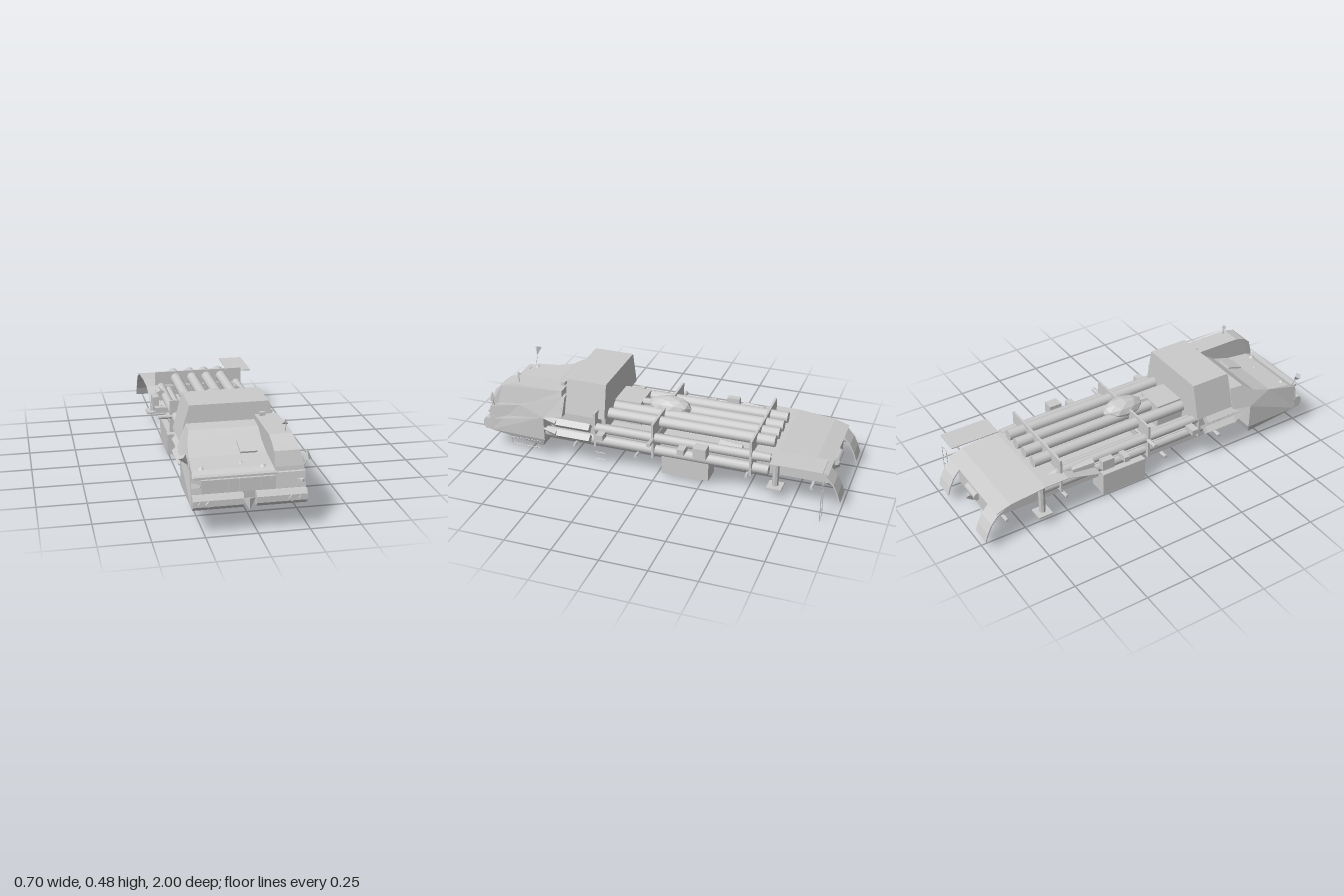
import * as THREE from 'three';

const mat = new THREE.MeshStandardMaterial({ color: 0xcccccc, flatShading: true, side: THREE.DoubleSide });
const round = new THREE.MeshStandardMaterial({ color: 0xcccccc, side: THREE.DoubleSide });
const AXIS = -0.038; // centre line of the vehicle

export function createModel() {
  const root = new THREE.Group();
  root.name = 'heavyTruck';

  const add = (name, geo, m = mat) => {
    const mesh = new THREE.Mesh(geo, m);
    mesh.name = name;
    root.add(mesh);
    return mesh;
  };
  // Box from its limits
  const box = (name, x0, x1, y0, y1, z0, z1) => {
    const g = new THREE.BoxGeometry(x1 - x0, y1 - y0, z1 - z0);
    g.translate((x0 + x1) / 2, (y0 + y1) / 2, (z0 + z1) / 2);
    return add(name, g);
  };
  // Cylinder or cone between two points
  const rod = (name, a, b, r0, r1 = r0, sides = 6, m = mat) => {
    const p = new THREE.Vector3(...a), q = new THREE.Vector3(...b);
    const g = new THREE.CylinderGeometry(r1, r0, p.distanceTo(q), sides);
    const mesh = add(name, g, m);
    mesh.position.copy(p).add(q).multiplyScalar(0.5);
    mesh.quaternion.setFromUnitVectors(new THREE.Vector3(0, 1, 0), q.sub(p).normalize());
    return mesh;
  };
  // Side profile of [z, y] points, spanning x from left(y) to right(y)
  const hull = (name, profile, left, right) => {
    const g = new THREE.ExtrudeGeometry(new THREE.Shape(profile.map(p => new THREE.Vector2(...p))),
      { depth: 1, bevelEnabled: false });
    g.rotateY(-Math.PI / 2);
    const p = g.attributes.position;
    for (let i = 0; i < p.count; i++) p.setX(i, p.getX(i) < -0.5 ? left(p.getY(i)) : right(p.getY(i)));
    g.computeVertexNormals();
    return add(name, g);
  };
  // Piecewise linear lookup through [y, x] points
  const ramp = pts => y => {
    let i = 1;
    while (i < pts.length - 1 && y > pts[i][0]) i++;
    const [a, b] = [pts[i - 1], pts[i]];
    return THREE.MathUtils.mapLinear(y, a[0], b[0], a[1], b[1]);
  };
  // Thin plate following [z, y] points
  const sheet = (name, x0, x1, path, t = 0.004) => {
    const under = path.map(([z, y]) => [z + t, y - t]).reverse();
    return hull(name, [...path, ...under], () => x0, () => x1);
  };

  // Chassis
  hull('chassis', [[0.64, 0.11], [0.64, 0.2], [-0.65, 0.2], [-0.65, 0.24], [-0.85, 0.23], [-0.92, 0.2], [-0.92, 0.11]],
    () => -0.215, () => 0.14);

  // Cab: sloping belly, nose, bonnet, windscreen and roof
  const cabLeft = ramp([[0.07, -0.28], [0.13, -0.308], [0.27, -0.305], [0.30, -0.29], [0.39, -0.257]]);
  const cabRight = ramp([[0.07, 0.21], [0.13, 0.234], [0.28, 0.234], [0.42, 0.2]]);
  hull('cabBody', [[0.95, 0.13], [0.955, 0.2], [0.945, 0.275], [0.9, 0.295], [0.77, 0.31], [0.665, 0.342], [0.6, 0.385],
    [0.51, 0.39], [0.52, 0.28], [0.63, 0.26], [0.63, 0.12], [0.65, 0.07]], cabLeft, cabRight);
  hull('driverCabin', [[0.92, 0.2], [0.945, 0.23], [0.935, 0.3], [0.915, 0.37], [0.88, 0.4], [0.82, 0.42], [0.53, 0.42],
    [0.52, 0.3], [0.62, 0.26]], y => 0.092 - Math.max(0, y - 0.3) * 0.05, cabRight);
  hull('rearCabin', [[0.515, 0.29], [0.515, 0.39], [0.51, 0.48], [0.288, 0.48], [0.288, 0.29]],
    ramp([[0.29, -0.285], [0.39, -0.265], [0.48, -0.237]]), ramp([[0.29, 0.2], [0.39, 0.185], [0.48, 0.163]]));
  box('rearCabinBase', -0.23, 0.155, 0.19, 0.3, 0.3, 0.6);
  box('engineBox', -0.125, 0.04, 0.2, 0.335, 0.14, 0.3);

  // Nose details
  box('grille', -0.262, 0.088, 0.203, 0.268, 0.945, 0.962);
  for (let i = 0; i < 5; i++) box('grilleSlat', -0.137 + i * 0.051, -0.134 + i * 0.051, 0.208, 0.266, 0.955, 0.967);
  box('bonnetLip', -0.295, 0.095, 0.272, 0.282, 0.93, 0.958);
  const hatch = box('bonnetHatch', -0.037, 0.047, -0.006, 0.006, -0.045, 0.045);
  hatch.position.set(0, 0.328, 0.722);
  hatch.rotation.x = 0.3;
  for (const [x, z] of [[-0.25, 0.885], [-0.055, 0.85], [0.04, 0.9]]) {
    const cap = add('bonnetCap', new THREE.ConeGeometry(0.018, 0.014, 6));
    cap.position.set(x, 0.302, z);
  }

  // Split bumper with lamps and tow point
  for (const s of [-1, 1]) {
    const [a, b] = s < 0 ? [-0.308, -0.068] : [-0.008, 0.234];
    hull('bumper', [[0.945, 0.13], [0.98, 0.132], [0.993, 0.15], [0.993, 0.18], [0.98, 0.199], [0.945, 0.199]], () => a, () => b);
    for (const [d, r] of [[0.195, 0.02], [0.238, 0.012]])
      rod('lamp', [AXIS + s * d, 0.164, 0.975], [AXIS + s * d, 0.164, 1], r, r * 0.8, 4);
  }
  const tow = rod('towPoint', [AXIS, 0.167, 0.965], [AXIS, 0.115, 0.98], 0.03, 0.001, 4);
  tow.scale.z = 0.6;

  // Mirrors and aerials
  rod('mirrorArm', [-0.3, 0.29, 0.92], [-0.328, 0.35, 0.92], 0.002);
  rod('mirror', [-0.343, 0.377, 0.92], [-0.318, 0.338, 0.92], 0.02, 0.002, 4);
  rod('mirror', [0.25, 0.325, 0.92], [0.245, 0.372, 0.92], 0.018, 0.002, 4);
  rod('mirrorArm', [0.228, 0.28, 0.92], [0.25, 0.33, 0.92], 0.002);
  rod('beacon', [0.185, 0.455, 0.79], [0.165, 0.468, 0.79], 0.002, 0.014, 4);
  rod('beaconPost', [0.175, 0.415, 0.79], [0.175, 0.46, 0.79], 0.003);
  box('roofBlock', 0.105, 0.135, 0.415, 0.438, 0.54, 0.56);
  rod('sideLamp', [0.2, 0.23, 0.94], [0.22, 0.235, 0.965], 0.017, 0.008, 4);
  rod('sideLamp', [-0.3, 0.24, 0.94], [-0.265, 0.24, 0.965], 0.02, 0.004, 4);

  // Upper pipe rack
  for (const x of [-0.135, -0.04, 0.045, 0.13])
    rod('upperPipe', [x, 0.298, 0.285], [x, 0.298, -0.63], 0.03, 0.03, 12, round);
  // Side pipes in two tiers
  for (const s of [-1, 1]) {
    const x = s < 0 ? -0.222 : 0.222;
    rod('sidePipe', [x, 0.25, 0.33], [x, 0.25, -0.55], 0.025, 0.025, 10, round);
    rod('pipeNose', [x, 0.25, -0.55], [x, 0.25, -0.63], 0.025, s < 0 ? 0.002 : 0.022, 10, round);
    rod('lowerPipe', [x * 0.95, 0.172, 0.62], [x * 0.95, 0.172, -0.62], 0.027, 0.027, 10, round);
    rod('innerPipe', [x * 0.8, 0.23, 0.3], [x * 0.8, 0.23, -0.6], 0.022, 0.022, 10, round);
    // Tapered pods behind the cab
    for (const y of [0.19, 0.255]) {
      const px = s < 0 ? -0.275 : 0.25;
      rod('podBody', [px, y, 0.35], [px, y, 0.54], 0.026, 0.026, 4);
      rod('podNose', [px, y, 0.54], [px - s * 0.02, y, 0.63], 0.026, 0.006, 4);
    }
    // Canisters beside the rack
    const cx = s < 0 ? -0.25 : 0.185;
    rod('canister', [cx, 0.255, -0.35], [cx, 0.255, -0.47], 0.032, 0.018, 6);
  }

  // Rack frames
  for (const [z, a, b] of [[0.33, -0.25, 0.24], [0, -0.255, 0.25], [-0.53, -0.255, 0.25]])
    box('rackFrame', a, b, 0.14, 0.34, z - 0.006, z + 0.006);
  rod('crossBar', [-0.315, 0.25, 0], [0.31, 0.25, 0], 0.012, 0.012, 8);
  for (const [x0, x1, y0, y1, z0, z1] of [[0.25, 0.31, 0.222, 0.28, -0.31, -0.24], [0.24, 0.3, 0.22, 0.25, -0.19, -0.15],
    [0.24, 0.3, 0.22, 0.25, 0.26, 0.3], [-0.31, -0.275, 0.222, 0.28, -0.32, -0.25],
    [-0.31, -0.24, 0.22, 0.25, -0.185, -0.155], [-0.31, -0.24, 0.22, 0.25, 0.24, 0.28]])
    box('sideFitting', x0, x1, y0, y1, z0, z1);

  // Faceted dome on top of the rack
  const dome = add('dome', new THREE.IcosahedronGeometry(1, 1));
  dome.scale.set(0.068, 0.058, 0.12);
  dome.position.set(-0.008, 0.322, -0.01);
  rod('domePipe', [-0.01, 0.325, 0.14], [-0.01, 0.325, 0.06], 0.018, 0.018, 8);

  // Rear deck, side wing, mudguards and folding flap
  sheet('rearDeck', -0.308, 0.232, [[-0.52, 0.262], [-0.65, 0.262], [-0.85, 0.24], [-0.93, 0.215]]);
  sheet('deckWing', -0.308, -0.235, [[-0.33, 0.21], [-0.52, 0.262]]);
  for (const [a, b] of [[-0.308, -0.2], [0.12, 0.23]])
    sheet('mudguard', a, b, [[-0.85, 0.24], [-0.92, 0.205], [-0.96, 0.16], [-0.985, 0.11], [-1, 0.065]], 0.005);
  box('foldingFlap', 0.2, 0.337, 0.281, 0.286, -0.92, -0.65);

  // Rear ladder hanging from the flap
  for (const x of [0.281, 0.334]) rod('ladderRail', [x, 0.001, -0.92], [x, 0.212, -0.92], 0.002, 0.002, 4);
  for (let i = 0; i < 5; i++)
    rod('ladderRung', [0.281, 0.004 + i * 0.052, -0.92], [0.334, 0.004 + i * 0.052, -0.92], 0.002, 0.002, 4);

  // Boarding steps
  for (const z of [0.66, 0.745, 0.83]) rod('stepRail', [0.222, 0.06, z], [0.222, 0.14, z], 0.002, 0.002, 4);
  for (const y of [0.06, 0.1]) rod('stepRung', [0.222, y, 0.66], [0.222, y, 0.83], 0.002, 0.002, 4);
  for (const y of [0.05, 0.09]) rod('stepRung', [0.21, y, 0.285], [0.21, y, 0.34], 0.002, 0.002, 4);

  // Fuel tanks
  for (const [a, b] of [[-0.265, -0.158], [0.082, 0.19]]) box('fuelTank', a, b, 0.022, 0.15, -0.29, -0.03);

  // Axles, differentials and drive shaft
  for (const z of [0.5, 0.14, -0.48, -0.83]) {
    rod('axle', [-0.213, 0.057, z], [0.137, 0.057, z], 0.01, 0.01, 6);
    for (const s of [-1, 1]) rod('differential', [AXIS, 0.057, z], [AXIS + s * 0.085, 0.057, z], 0.04, 0.012, 6);
  }
  rod('driveShaft', [AXIS, 0.057, 0.53], [AXIS, 0.057, -0.86], 0.009, 0.009, 8);

  // Stabiliser legs
  for (const x of [-0.255, 0.18]) {
    rod('stabiliserLeg', [x, 0.07, -0.65], [x, 0.25, -0.65], 0.017, 0.02, 8);
    box('stabiliserFoot', x - 0.04, x + 0.04, 0.058, 0.068, -0.69, -0.61);
  }

  // Rear hitch
  rod('winchDrum', [-0.09, 0.17, -0.925], [0.015, 0.17, -0.925], 0.022, 0.022, 10, round);
  rod('hitchBar', [-0.13, 0.085, -0.9], [0.055, 0.085, -0.9], 0.008);
  for (const s of [-1, 1]) rod('hitchCone', [AXIS + s * 0.1, 0.06, -0.9], [AXIS + s * 0.06, 0.1, -0.92], 0.028, 0.004, 4);
  return root;
}
